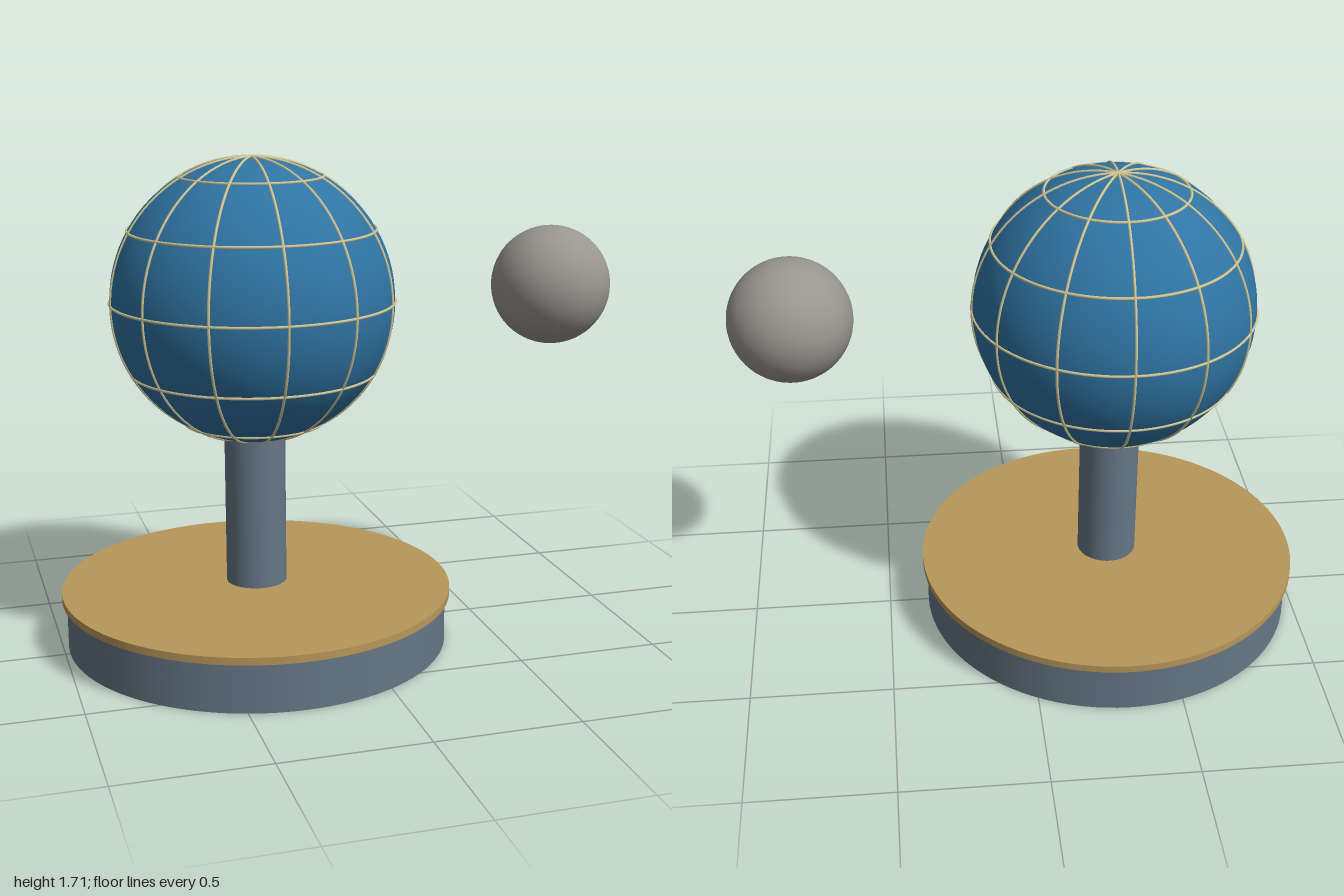
import * as THREE from 'three';

const paint = (name, color) => {
  const m = new THREE.MeshStandardMaterial({ color });
  m.name = name;
  return m;
};

export function createModel() {
  const slate = paint('slate', 0x667786);
  const brass = paint('brass', 0xb8975a);
  const ocean = paint('oceanBlue', 0x2f74a3);
  const line = paint('paleGold', 0xd2c898);
  const stone = paint('moonGrey', 0x999690);

  const model = new THREE.Group();
  model.name = 'globeWithMoon';
  const axisX = -0.314, globeY = 1.217, ringRadius = 0.487;

  const add = (parent, name, geometry, material, x = 0, y = 0, z = 0) => {
    const mesh = new THREE.Mesh(geometry, material);
    mesh.name = name;
    mesh.position.set(x, y, z);
    parent.add(mesh);
    return mesh;
  };
  const disc = (name, radius, bottom, top, material) =>
    add(model, name, new THREE.CylinderGeometry(radius, radius, top - bottom, 96),
      material, axisX, (bottom + top) / 2);

  // Stand: drum, overhanging top plate, and a column that floats just above it
  disc('base', 0.67, 0, 0.172, slate);
  disc('basePlate', 0.686, 0.172, 0.198, brass);
  disc('column', 0.106, 0.21, 0.78, slate);

  // Globe with its grid of raised lines
  const globe = new THREE.Group();
  globe.name = 'globe';
  globe.position.set(axisX, globeY, 0);
  model.add(globe);
  add(globe, 'sphere', new THREE.SphereGeometry(0.486, 72, 48), ocean);

  const ring = (radius) => new THREE.TorusGeometry(radius, 0.005, 6, 96);
  for (let i = 0; i < 6; i++) {
    add(globe, 'meridian', ring(ringRadius), line).rotation.y = i * Math.PI / 6;
  }
  for (let i = -2; i <= 2; i++) {
    const latitude = i * Math.PI / 6;
    add(globe, 'parallel', ring(ringRadius * Math.cos(latitude)), line,
      0, ringRadius * Math.sin(latitude)).rotation.x = Math.PI / 2;
  }

  // Moon beside the globe
  add(model, 'moon', new THREE.SphereGeometry(0.213, 48, 32), stone, 0.787, globeY);

  return model;
}
